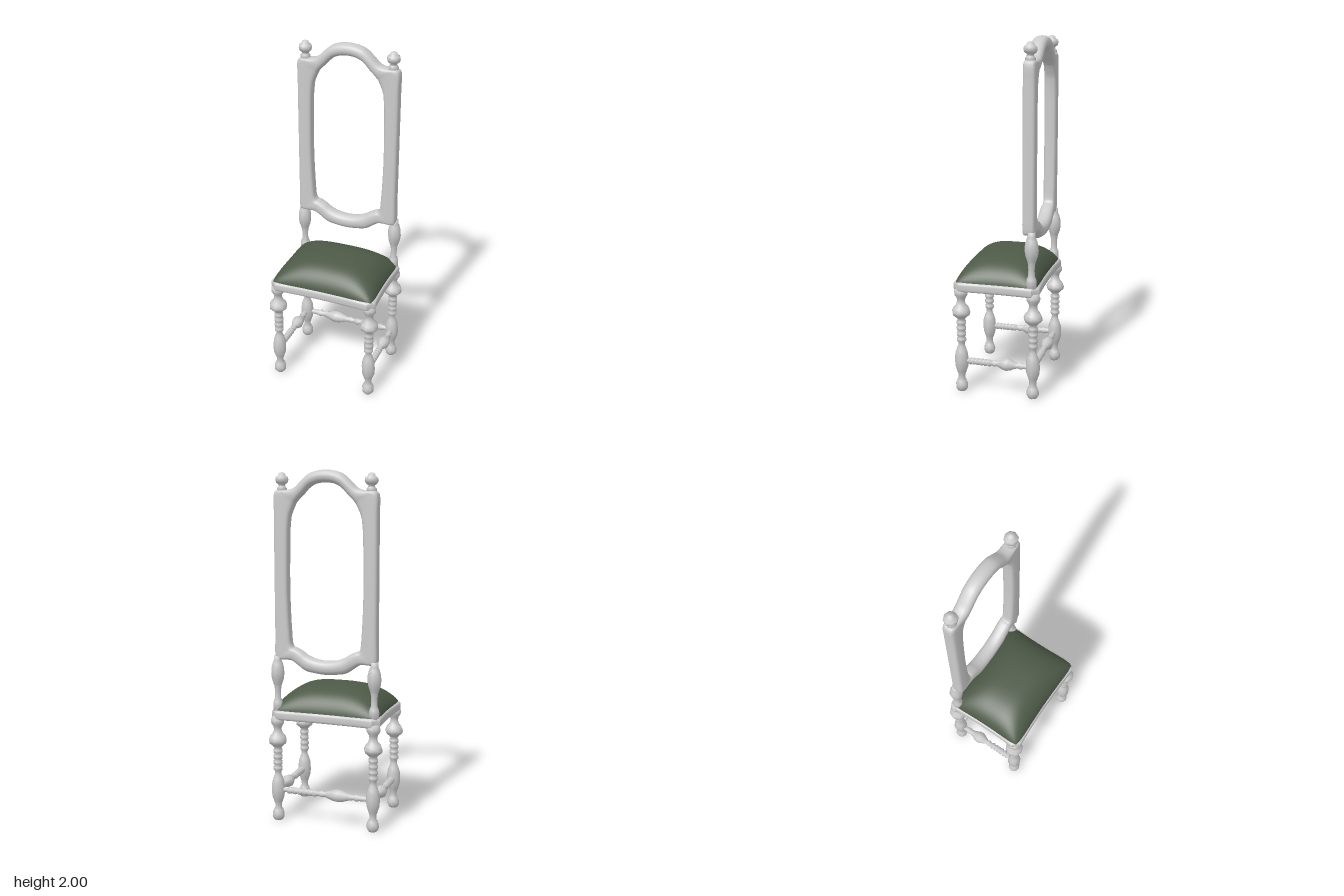
import * as THREE from 'three';
import { toCreasedNormals } from 'three/addons/utils/BufferGeometryUtils.js';

const wood = new THREE.MeshStandardMaterial({ color: 0xcbcbcb });
wood.name = 'pale wood';
const fabric = new THREE.MeshStandardMaterial({ color: 0x4e5a48 });
fabric.name = 'green fabric';

const SIDES = 8;

function mesh(name, geometry, material = wood) {
  const m = new THREE.Mesh(geometry, material);
  m.name = name;
  return m;
}

// Turned part from [radius, height] pairs
function turned(profile) {
  return new THREE.LatheGeometry(profile.map(([r, y]) => new THREE.Vector2(r, y)), SIDES);
}

// Row of beads from y0 to y1
function beads(y0, y1, count, rIn, rOut) {
  const out = [];
  const step = (y1 - y0) / count;
  for (let i = 0; i < count; i++) {
    const y = y0 + i * step;
    out.push([rIn, y], [rOut, y + step * 0.3], [rOut, y + step * 0.7]);
  }
  out.push([rIn, y1]);
  return out;
}

function legGeometry() {
  return turned([
    [0, 0.005], [0.024, 0.008], [0.035, 0.025], [0.036, 0.045], [0.028, 0.068], [0.02, 0.08],
    [0.021, 0.105], [0.028, 0.125], [0.038, 0.155], [0.041, 0.19], [0.038, 0.23], [0.03, 0.255],
    [0.02, 0.28], ...beads(0.3, 0.435, 4, 0.019, 0.028),
    [0.032, 0.452], [0.051, 0.468], [0.054, 0.485], [0.046, 0.505], [0.03, 0.523], [0.023, 0.545],
    [0.026, 0.565], [0.039, 0.585], [0.04, 0.605], [0.028, 0.625], [0, 0.625],
  ]);
}

// Stretcher of given length along +y, with a bulb near the start and beads near the end
function stretcherGeometry(length) {
  const bulb = [[0.014, 0], [0.016, 0.14], [0.021, 0.17], [0.014, 0.2], [0.022, 0.26], [0.034, 0.32],
    [0.037, 0.36], [0.034, 0.4], [0.022, 0.46], [0.014, 0.5], [0.02, 0.53], [0.014, 0.56]];
  const all = [...bulb, ...beads(0.58, 0.9, 6, 0.014, 0.021), [0.014, 1]];
  return turned(all.map(([r, t]) => [r, t * length]));
}

// Seat board outline with slightly hollow edges and clipped corners
function seatBoard() {
  const s = new THREE.Shape();
  const X = 0.308, B = 0.228, F = 0.238, c = 0.03;
  s.moveTo(-X + c, -F);
  s.quadraticCurveTo(0, -F + 0.018, X - c, -F);
  s.lineTo(X, -F + c);
  s.quadraticCurveTo(X - 0.014, 0, X, B - c);
  s.lineTo(X - c, B);
  s.quadraticCurveTo(0, B - 0.02, -X + c, B);
  s.lineTo(-X, B - c);
  s.quadraticCurveTo(-X + 0.014, 0, -X, -F + c);
  const g = new THREE.ExtrudeGeometry(s, {
    depth: 0.025, bevelThickness: 0.015, bevelSize: 0.013, bevelSegments: 3, curveSegments: 10,
  });
  g.rotateX(-Math.PI / 2);
  g.translate(0, 0.62, 0);
  return toCreasedNormals(g, 0.7);
}

// Domed cushion: a grid bent into a pillow
function cushionGeometry() {
  const g = new THREE.PlaneGeometry(2, 2, 28, 28);
  g.rotateX(-Math.PI / 2);
  const p = g.attributes.position;
  for (let i = 0; i < p.count; i++) {
    const u = Math.sin(p.getX(i) * Math.PI / 2), v = Math.sin(p.getZ(i) * Math.PI / 2);
    const clip = 1 - 0.055 * Math.pow(u * v, 8);
    const dome = Math.pow(Math.max(0, (1 - Math.abs(u) ** 3) * (1 - Math.abs(v) ** 3)), 0.6);
    p.setXYZ(i, u * (0.305 + 0.01 * v * v) * clip, 0.655 + 0.14 * dome,
      0.006 + v * (0.228 + 0.012 * u * u) * clip);
  }
  g.computeVertexNormals();
  return g;
}

// Back frame: one closed loop swept through paired inner and outer points
function backFrameGeometry() {
  // inner x, inner y, outer x, outer y, section roundness (1 = round)
  const half = [
    [0, 1.932, 0, 2.0, 0.9], [0.05, 1.926, 0.05, 1.995, 0.9], [0.088, 1.908, 0.095, 1.98, 0.9],
    [0.13, 1.866, 0.14, 1.943, 0.85], [0.155, 1.843, 0.18, 1.905, 0.8], [0.168, 1.828, 0.225, 1.892, 0.65],
    [0.178, 1.815, 0.28, 1.89, 0.5], [0.19, 1.79, 0.297, 1.872, 0.5], [0.208, 1.74, 0.298, 1.78, 0.5],
    [0.218, 1.5, 0.298, 1.5, 0.5], [0.218, 1.3, 0.298, 1.3, 0.5], [0.209, 1.1, 0.298, 1.08, 0.5],
    [0.203, 1.04, 0.298, 0.968, 0.5], [0.196, 1.026, 0.288, 0.952, 0.5], [0.178, 1.02, 0.205, 0.949, 0.7],
    [0.14, 1.002, 0.165, 0.925, 0.8], [0.105, 0.98, 0.12, 0.894, 0.9], [0.06, 0.963, 0.06, 0.883, 0.9],
    [0, 0.957, 0, 0.878, 0.9],
  ];
  const mirror = half.slice(1, -1).reverse().map(([a, b, c, d, e]) => [-a, b, -c, d, e]);
  const loop = [...half, ...mirror];
  const inner = new THREE.CatmullRomCurve3(loop.map(q => new THREE.Vector3(q[0], q[1], q[4])), true);
  const outer = new THREE.CatmullRomCurve3(loop.map(q => new THREE.Vector3(q[2], q[3], 0)), true);
  const N = loop.length * 3, M = 20, pos = [], idx = [];
  const soft = (t, e) => Math.sign(t) * Math.pow(Math.abs(t), e);
  for (let i = 0; i < N; i++) {
    const a = inner.getPoint(i / N), b = outer.getPoint(i / N), e = a.z;
    const depth = 0.036 + 0.006 * (e - 0.5) / 0.4;
    for (let j = 0; j < M; j++) {
      const t = (j / M) * Math.PI * 2;
      const k = 0.5 + 0.5 * soft(Math.cos(t), e);
      pos.push(a.x + (b.x - a.x) * k, a.y + (b.y - a.y) * k, -0.178 + depth * soft(Math.sin(t), e));
      const i2 = (i + 1) % N, j2 = (j + 1) % M;
      const p = i * M + j, pj = i * M + j2, pi = i2 * M + j, pij = i2 * M + j2;
      idx.push(p, pj, pi, pj, pij, pi);
    }
  }
  const g = new THREE.BufferGeometry();
  g.setAttribute('position', new THREE.Float32BufferAttribute(pos, 3));
  g.setIndex(idx);
  g.computeVertexNormals();
  return g;
}

export function createModel() {
  const chair = new THREE.Group();
  chair.name = 'highBackChair';
  const LX = 0.285, LZ = 0.208, SY = 0.19;

  const leg = legGeometry();
  const sideStretcher = stretcherGeometry(LZ * 2);
  const post = turned([
    [0, 0.64], [0.027, 0.64], [0.03, 0.69], [0.027, 0.708], [0.019, 0.725], [0.018, 0.76], [0.021, 0.795],
    [0.026, 0.812], [0.036, 0.84], [0.04, 0.87], [0.038, 0.9], [0.03, 0.93], [0.022, 0.945], [0.022, 0.97], [0, 0.97],
  ]);
  const finial = turned([
    [0, 1.87], [0.028, 1.87], [0.029, 1.9], [0.022, 1.908], [0.018, 1.918], [0.034, 1.93],
    [0.039, 1.945], [0.035, 1.959], [0.022, 1.968], [0.018, 1.98], [0, 1.987],
  ]);

  for (const s of [1, -1]) {
    const side = s > 0 ? 'left' : 'right';
    for (const z of [LZ, -LZ]) {
      const l = mesh(side + (z > 0 ? 'FrontLeg' : 'BackLeg'), leg);
      l.position.set(s * LX, 0, z);
      chair.add(l);
    }
    const st = mesh(side + 'Stretcher', sideStretcher);
    st.rotation.x = Math.PI / 2;
    st.position.set(s * LX, SY, -LZ);
    const p = mesh(side + 'BackPost', post);
    p.position.set(s * LX, 0, -0.197);
    const f = mesh(side + 'Finial', finial);
    f.position.set(s * 0.256, 0, -0.178);
    chair.add(st, p, f);
  }

  // Rear stretcher runs from the right leg to the left leg
  const back = mesh('backStretcher', stretcherGeometry(LX * 2));
  back.rotation.z = -Math.PI / 2;
  back.position.set(-LX, SY, -LZ);

  chair.add(back, mesh('seatBoard', seatBoard()), mesh('seatCushion', cushionGeometry(), fabric),
    mesh('backFrame', backFrameGeometry()));
  return chair;
}
